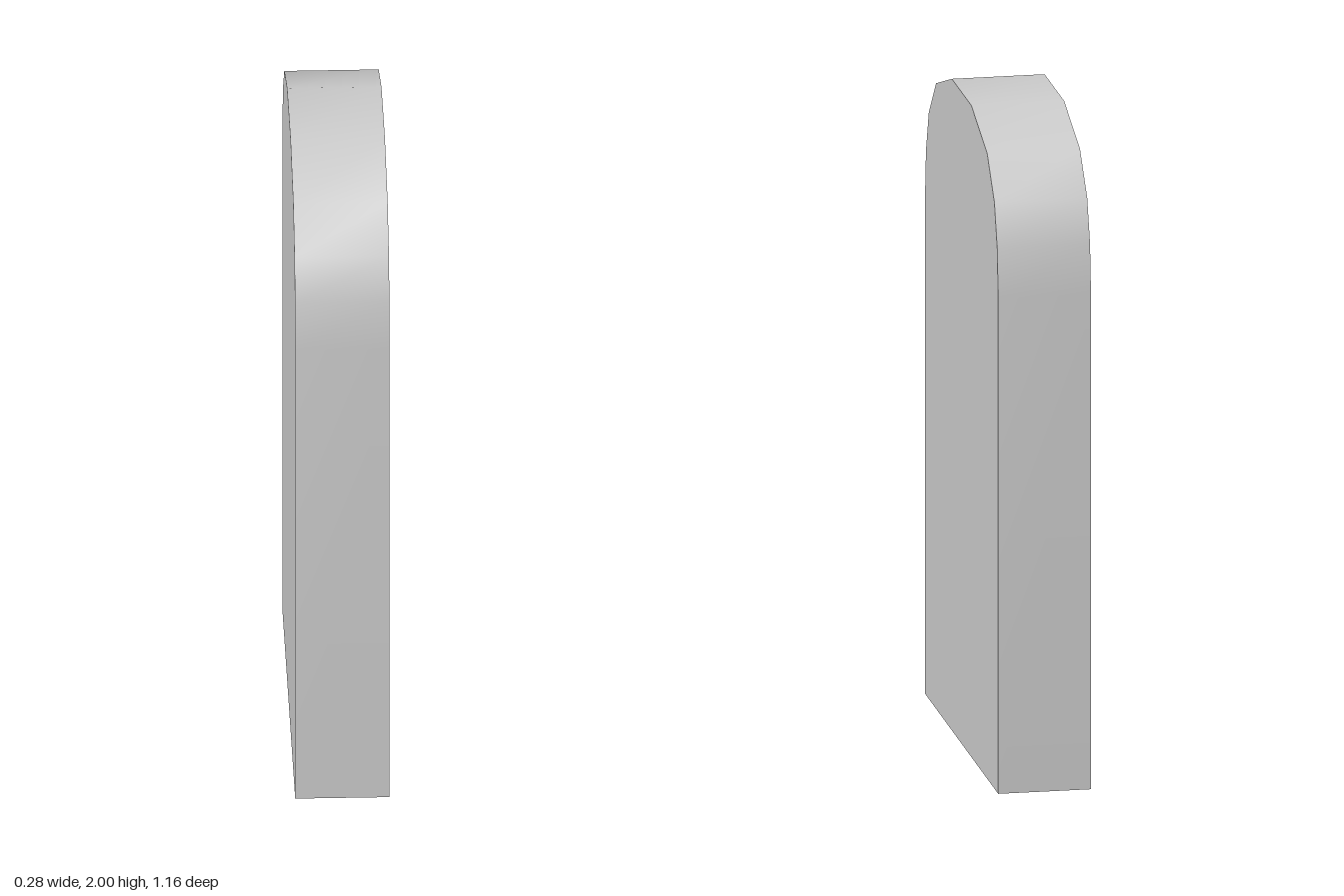
import * as THREE from 'three';
import { toCreasedNormals } from 'three/addons/utils/BufferGeometryUtils.js';

export function createModel() {
  const group = new THREE.Group();
  group.name = 'roundedSlab';
  const thickness = 0.28;

  // Half outline from the foot up to the crown, mirrored for the other side
  const half = [[0.58, 0], [0.58, 1.52], [0.565, 1.67], [0.52, 1.8], [0.405, 1.92], [0.155, 2]];
  const right = half.map(([u, y]) => new THREE.Vector2(u, y));
  const left = half.map(([u, y]) => new THREE.Vector2(-u, y)).reverse();

  // Upright slab: outline lies in the z-y plane, thickness runs along x
  const geometry = new THREE.ExtrudeGeometry(new THREE.Shape([...right, ...left]), {
    depth: thickness,
    bevelEnabled: false,
  });
  geometry.translate(0, 0, -thickness / 2);
  geometry.rotateY(Math.PI / 2);

  // Smooth arched rim, sharp edges around the flat faces
  const slab = new THREE.Mesh(
    toCreasedNormals(geometry, 0.7),
    new THREE.MeshStandardMaterial({ color: 0xcccccc })
  );
  slab.name = 'slab';
  group.add(slab);
  return group;
}
